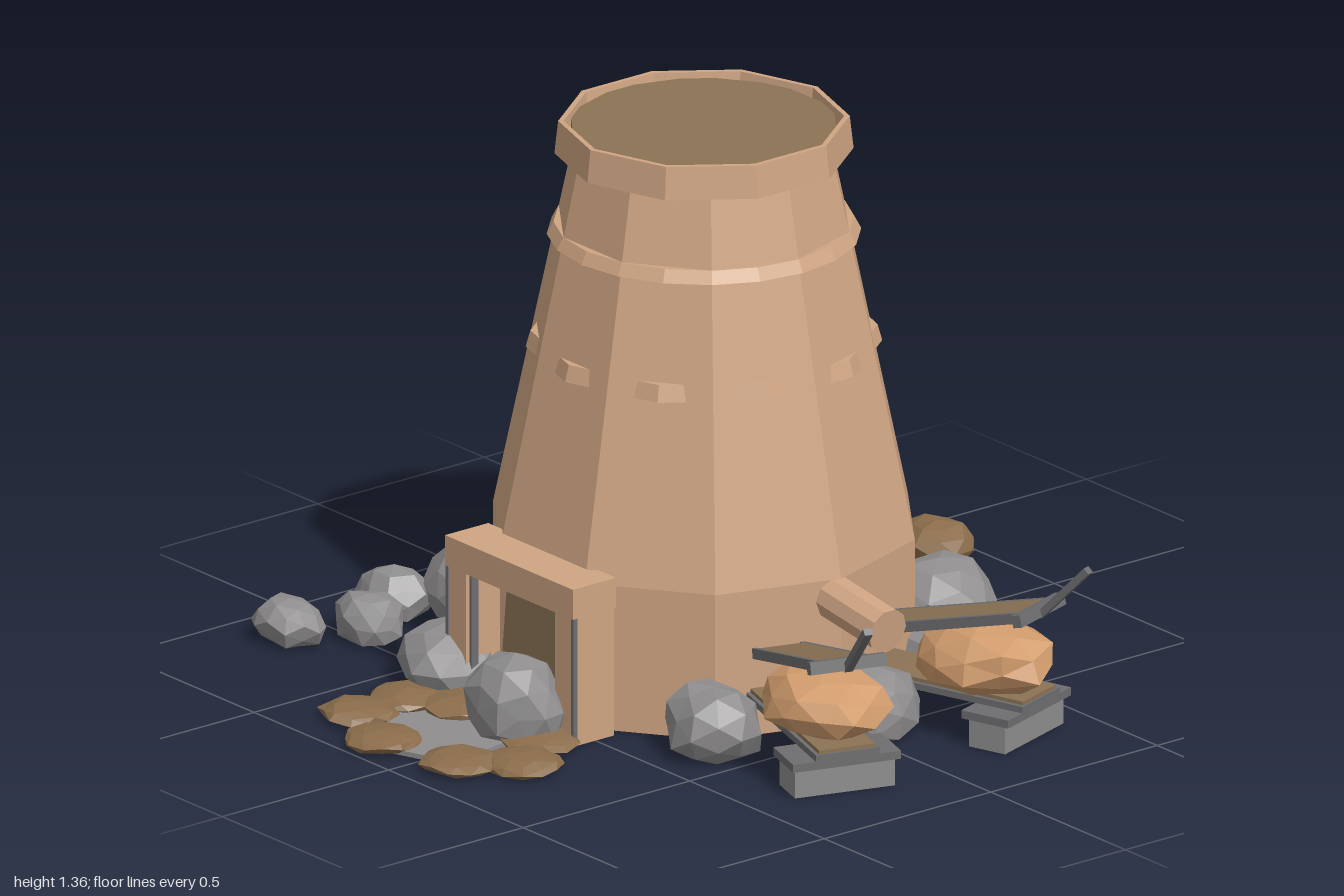
import * as THREE from 'three';

const mat = (name, color) => {
  const m = new THREE.MeshStandardMaterial({ color });
  m.name = name;
  return m;
};
const D = Math.PI / 180;

export function createModel() {
  const clay = mat('clay', 0xcfa583);
  const hide = mat('orange clay', 0xd09b6c);
  const wood = mat('brown wood', 0x8b7355);
  const dirt = mat('dirt', 0x8b6d4b);
  const stone = mat('stone', 0x8f8d8d);
  const iron = mat('dark grey', 0x6e6e70);
  const straw = mat('basket straw', 0xbfb27c);

  const model = new THREE.Group();
  model.name = 'kiln';

  // Faceted mesh: split faces so each one is flat
  const add = (parent, name, geo, material, x = 0, y = 0, z = 0) => {
    const g = geo.index ? geo.toNonIndexed() : geo;
    g.computeVertexNormals();
    const m = new THREE.Mesh(g, material);
    m.name = name;
    m.position.set(x, y, z);
    parent.add(m);
    return m;
  };
  const box = (parent, name, material, w, h, d, x, y, z) =>
    add(parent, name, new THREE.BoxGeometry(w, h, d), material, x, y, z);
  const lathe = (pts, sides, start = 0) =>
    new THREE.LatheGeometry(pts.map(([r, y]) => new THREE.Vector2(r, y)), sides, start);

  // Rough rock: jittered icosahedron, radii rx/rz, from y0 up to y0 + h
  let seed = 1;
  const rock = (parent, name, material, x, z, rx, rz, h, y0 = 0, detail = 1, sink = 0.38) => {
    seed += 1;
    const g = new THREE.IcosahedronGeometry(1, detail);
    g.rotateY(seed * 1.3);
    const p = g.attributes.position, v = new THREE.Vector3();
    for (let i = 0; i < p.count; i++) {
      v.fromBufferAttribute(p, i);
      const n = Math.sin(Math.round(v.x * 100) * 1.27 + Math.round(v.y * 100) * 3.11
        + Math.round(v.z * 100) * 2.17 + seed * 7.7);
      v.multiplyScalar(0.96 + 0.08 * n);
      p.setXYZ(i, v.x * rx, Math.max(0, h * (sink + (1 - sink) * v.y)), v.z * rz);
    }
    return add(parent, name, g, material, x, y0, z);
  };

  // Ten-sided tower with bands, rim and lid
  const tower = new THREE.Group();
  tower.name = 'tower';
  tower.position.set(-0.09, 0, -0.02);
  model.add(tower);
  add(tower, 'towerWall', lathe([[0, 0], [0.51, 0], [0.51, 0.36], [0.315, 1.28], [0, 1.28]], 10, 18 * D), clay);
  add(tower, 'lowerBand', lathe([[0.37, 0.8], [0.417, 0.8], [0.406, 0.84], [0.37, 0.84]], 10), clay);
  add(tower, 'upperBand', lathe([[0.32, 1.08], [0.368, 1.08], [0.352, 1.11], [0.32, 1.11]], 20), clay);
  add(tower, 'rim', lathe([[0.3, 1.28], [0.35, 1.28], [0.341, 1.36], [0.328, 1.36], [0.322, 1.3], [0.3, 1.28]], 10), clay);
  add(tower, 'lid', lathe([[0.324, 1.3], [0.324, 1.345], [0, 1.345]], 10, 18 * D), wood);

  // Doorway
  const door = new THREE.Group();
  door.name = 'doorway';
  door.position.set(-0.085, 0, 0);
  model.add(door);
  box(door, 'lintel', clay, 0.475, 0.075, 0.13, 0, 0.355, 0.505);
  for (const s of [-1, 1]) {
    box(door, 'post', clay, 0.07, 0.32, 0.12, s * 0.2, 0.16, 0.505);
    box(door, 'outerStrip', iron, 0.008, 0.35, 0.012, s * 0.233, 0.175, 0.562);
    box(door, 'innerStrip', iron, 0.012, 0.32, 0.02, s * 0.163, 0.16, 0.545);
  }
  box(door, 'innerLintel', iron, 0.32, 0.015, 0.02, 0, 0.317, 0.545);
  const panel = new THREE.Shape([[-0.135, 0], [0.135, 0], [0.105, 0.3], [-0.105, 0.3]]
    .map(([x, y]) => new THREE.Vector2(x, y)));
  add(door, 'doorPanel', new THREE.ExtrudeGeometry(panel, { depth: 0.04, bevelEnabled: false }), wood, 0, 0, 0.45);

  // Clay pipe between the bellows
  const pipe = add(model, 'airPipe', new THREE.CylinderGeometry(0.055, 0.055, 0.26, 10), clay, 0.47, 0.3, -0.015);
  pipe.rotation.z = -(90 + 8) * D;

  // Two bellows set radially on the right-hand side
  for (const s of [-1, 1]) {
    const b = new THREE.Group();
    b.name = 'bellows';
    b.position.copy(tower.position);
    b.rotation.y = s * 18 * D;
    tower.parent.add(b);
    box(b, 'foot', stone, 0.1, 0.07, 0.25, 0.87, 0.035, 0);
    box(b, 'footCap', iron, 0.13, 0.02, 0.27, 0.87, 0.08, 0);
    box(b, 'bottomBoard', iron, 0.46, 0.016, 0.16, 0.71, 0.1, 0);
    box(b, 'bottomBoardTop', wood, 0.45, 0.01, 0.14, 0.71, 0.112, 0);
    rock(b, 'bag', hide, 0.78, 0, 0.19, 0.155, 0.16, 0.11, 1, 0.45);
    const top = new THREE.Group();
    top.name = 'topBoard';
    top.position.set(0.715, 0.265, 0);
    top.rotation.z = 15 * D;
    b.add(top);
    box(top, 'board', wood, 0.43, 0.025, 0.11, 0, 0, 0);
    for (const e of [-1, 1]) box(top, 'boardEdge', iron, 0.47, 0.025, 0.012, 0, 0, e * 0.06);
    box(top, 'crossBar', iron, 0.025, 0.03, 0.19, 0.225, 0, 0);
    const handle = box(b, 'handle', iron, 0.19, 0.018, 0.02, 1.005, 0.382, 0);
    handle.rotation.z = 46 * D;
  }

  // Boulders round the base: x, z, rx, rz, height
  [
    [-0.34, -0.56, 0.145, 0.15, 0.18], [0.05, -0.61, 0.14, 0.15, 0.18],
    [0.35, -0.41, 0.15, 0.15, 0.18], [-0.63, -0.26, 0.15, 0.14, 0.18],
    [-0.67, 0.17, 0.155, 0.145, 0.19], [-0.35, 0.53, 0.125, 0.13, 0.17],
    [0.39, 0.34, 0.125, 0.12, 0.18], [0.5, -0.02, 0.13, 0.14, 0.18],
    [0, 0.62, 0.135, 0.115, 0.2], [-0.82, 0.32, 0.105, 0.09, 0.12],
    [-0.72, 0.475, 0.1, 0.08, 0.12], [-0.83, 0.625, 0.1, 0.08, 0.11],
  ].forEach(([x, z, rx, rz, h]) => rock(model, 'boulder', stone, x, z, rx, rz, h));

  // Ash patch ringed by flat dirt lumps
  add(model, 'ash', new THREE.CylinderGeometry(0.17, 0.17, 0.012, 9), stone, -0.1, 0.006, 0.76);
  [
    [-0.32, 0.69], [-0.32, 0.83], [-0.14, 0.905], [0.09, 0.86], [0.19, 0.75], [0.09, 0.62], [-0.2, 0.62],
  ].forEach(([x, z]) => rock(model, 'dirtLump', dirt, x, z, 0.1, 0.095, 0.042));

  // Dirt pile behind
  [
    [-0.52, -0.84, 0.11], [-0.31, -0.895, 0.1], [-0.39, -0.77, 0.14], [-0.45, -0.66, 0.09],
  ].forEach(([x, z, h]) => rock(model, 'dirtPile', dirt, x, z, 0.105, 0.1, h));

  // Basket holding a lump of clay
  const basket = new THREE.Group();
  basket.name = 'basket';
  basket.position.set(-0.725, 0, -0.58);
  model.add(basket);
  add(basket, 'basketBody', lathe([[0, 0], [0.125, 0], [0.165, 0.225], [0.183, 0.225], [0.186, 0.26],
    [0.155, 0.26], [0.135, 0.1], [0, 0.1]], 11), straw);
  add(basket, 'basketHoop', lathe([[0.135, 0.1], [0.152, 0.1], [0.155, 0.12], [0.14, 0.12]], 11), straw);
  rock(basket, 'basketClay', hide, 0.01, 0.01, 0.12, 0.125, 0.18, 0.1);

  return model;
}
